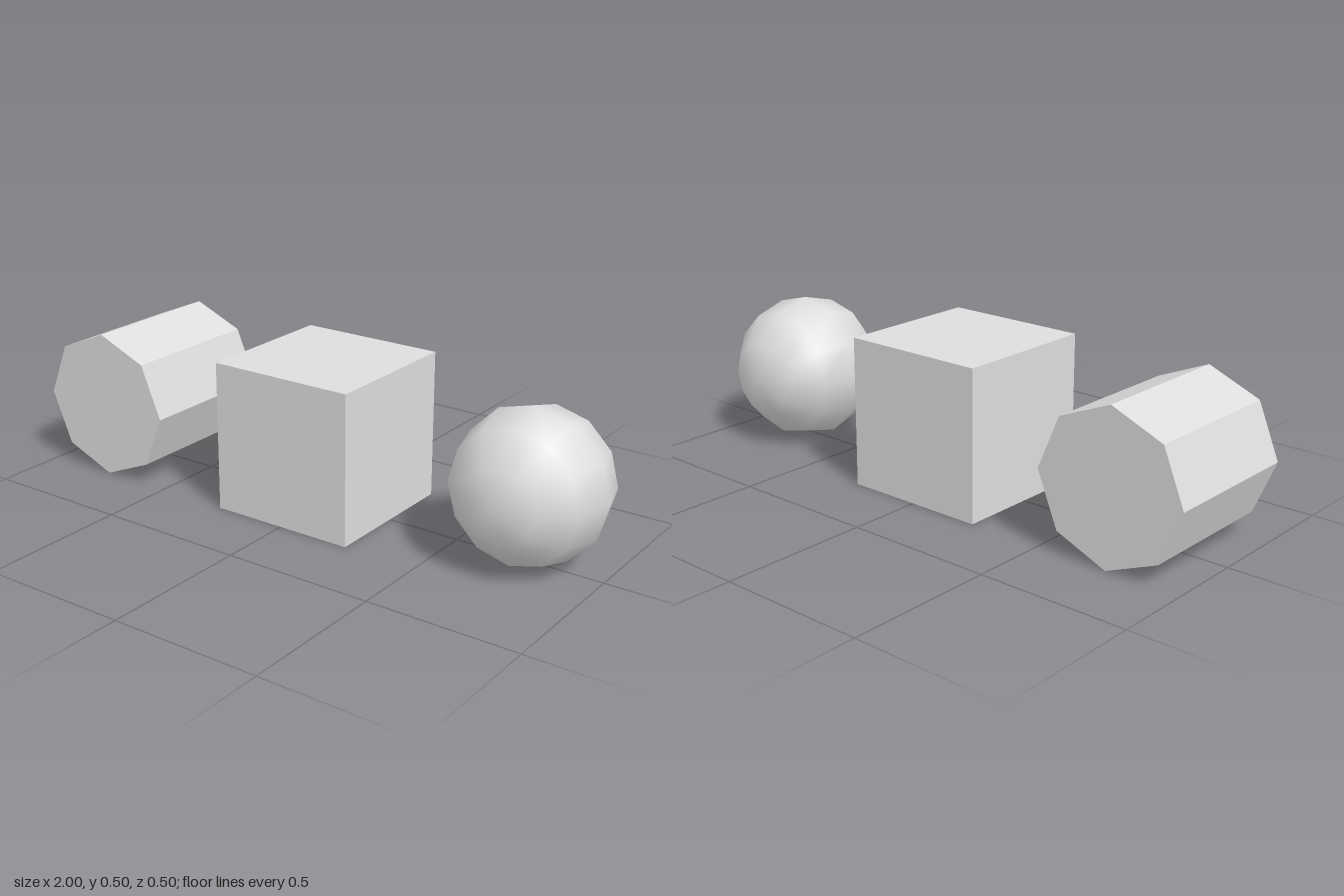
import * as THREE from 'three';

export function createModel() {
  const group = new THREE.Group();
  const grey = new THREE.MeshStandardMaterial({ color: 0xdddddd });
  grey.name = 'light grey';
  const R = 0.25;

  const add = (name, geometry, x) => {
    const mesh = new THREE.Mesh(geometry, grey);
    mesh.name = name;
    mesh.position.set(x, R, 0);
    group.add(mesh);
  };

  // Eight-sided prism lying along z, with flat facets
  const prism = new THREE.CylinderGeometry(R, R, 2 * R, 8).rotateX(Math.PI / 2).toNonIndexed();
  prism.computeVertexNormals();
  add('octagonalPrism', prism, -0.75);

  // Cube in the middle
  add('cube', new THREE.BoxGeometry(2 * R, 2 * R, 2 * R), 0);

  // Coarse smooth-shaded ball with its poles on the z axis
  add('sphere', new THREE.SphereGeometry(R, 12, 6).rotateX(Math.PI / 2), 0.75);

  return group;
}
